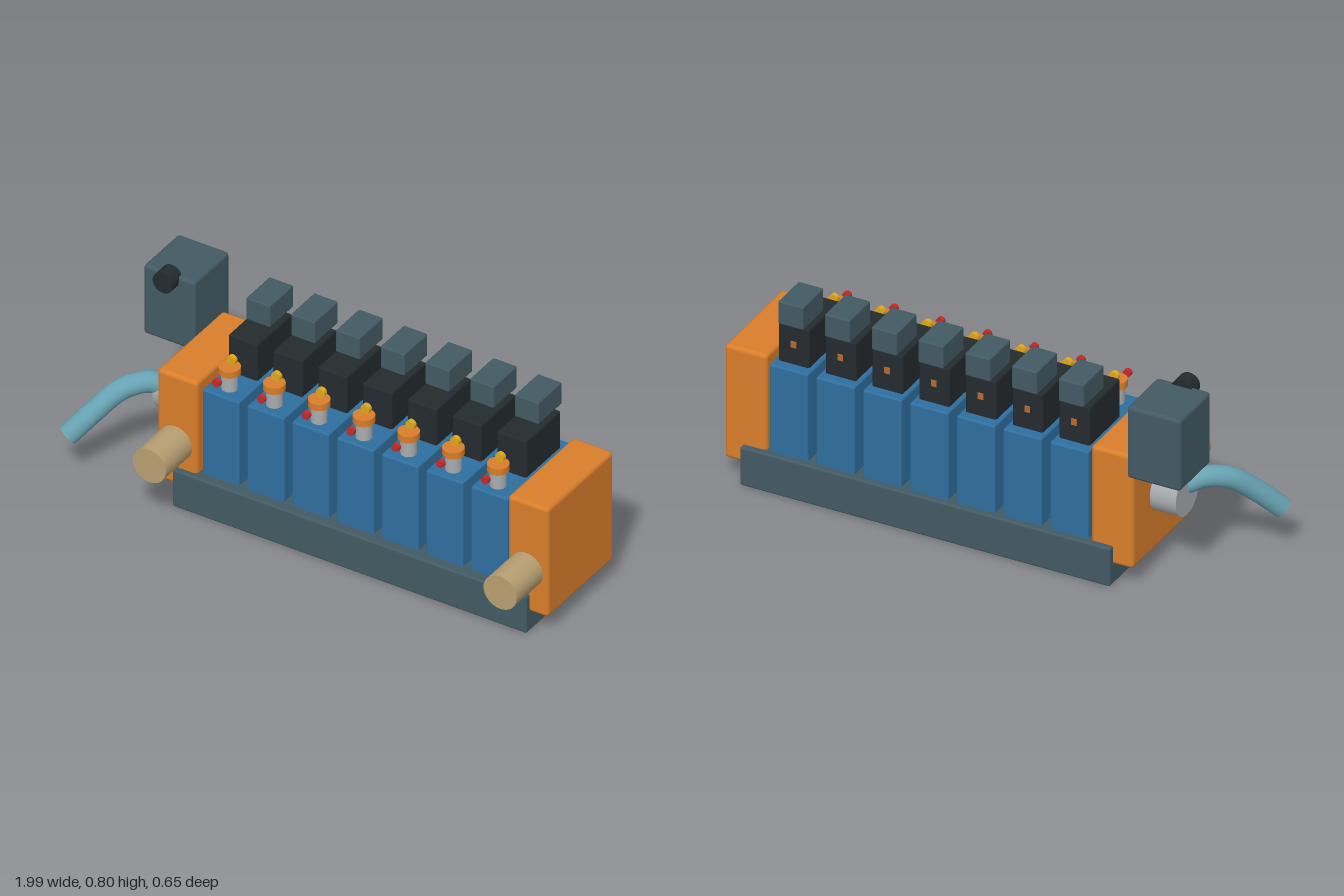
import * as THREE from 'three';
import { RoundedBoxGeometry } from 'three/addons/geometries/RoundedBoxGeometry.js';

const mat = (color) => new THREE.MeshStandardMaterial({ color });
const slate = mat(0x435a64), blue = mat(0x2f6f9f), orange = mat(0xd97e2b), black = mat(0x242b2e);
const silver = mat(0xa9adb0), tan = mat(0xb89f72), teal = mat(0x68a3b3);
const yellow = mat(0xe0a81c), red = mat(0xc62828), copper = mat(0xb8692e);

// Rounded box given by its extents on each axis
function box(parent, name, material, [x0, x1], [y0, y1], [z0, z1], radius = 0.008) {
  const mesh = new THREE.Mesh(new RoundedBoxGeometry(x1 - x0, y1 - y0, z1 - z0, 3, radius), material);
  mesh.position.set((x0 + x1) / 2, (y0 + y1) / 2, (z0 + z1) / 2);
  mesh.name = name;
  parent.add(mesh);
}

// Cylinder centred at a point, lying along the chosen axis
function rod(parent, name, material, axis, radius, length, x, y, z) {
  const geometry = new THREE.CylinderGeometry(radius, radius, length, 32);
  if (axis === 'x') geometry.rotateZ(Math.PI / 2);
  if (axis === 'z') geometry.rotateX(Math.PI / 2);
  const mesh = new THREE.Mesh(geometry, material);
  mesh.position.set(x, y, z);
  mesh.name = name;
  parent.add(mesh);
}

// One valve slice: body, solenoid, connector and manual override
function valve(x) {
  const g = new THREE.Group();
  g.name = 'valve';
  g.position.x = x;
  box(g, 'valveBody', blue, [-0.077, 0.077], [0.14, 0.512], [-0.285, 0.13]);
  box(g, 'solenoid', black, [-0.061, 0.061], [0.505, 0.667], [-0.245, -0.016]);
  box(g, 'connector', slate, [-0.05, 0.05], [0.677, 0.77], [-0.27, -0.115], 0.006);
  box(g, 'rearContact', copper, [-0.011, 0.011], [0.58, 0.606], [-0.248, -0.235], 0.001);
  rod(g, 'overrideStem', silver, 'y', 0.03, 0.075, 0, 0.541, 0.07);
  rod(g, 'overrideCollar', orange, 'y', 0.04, 0.027, 0, 0.591, 0.07);
  rod(g, 'overrideKnob', yellow, 'z', 0.018, 0.018, 0, 0.623, 0.055);
  rod(g, 'indicator', red, 'z', 0.015, 0.018, 0, 0.583, 0.153);
  return g;
}

export function createModel() {
  const model = new THREE.Group();
  model.name = 'valveManifold';

  box(model, 'base', slate, [-0.552, 0.92], [0, 0.156], [-0.31, 0.17]);

  for (let i = 0; i < 7; i++) model.add(valve(-0.376 + i * 0.186));

  // End blocks with their front ports
  for (const x of [-0.547, 0.911]) {
    box(model, 'endBlock', orange, [x - 0.084, x + 0.084], [0.08, 0.543], [-0.286, 0.147], 0.016);
    rod(model, 'frontPort', tan, 'z', 0.069, 0.172, x, 0.265, 0.241);
  }

  // Control box with a round plug
  box(model, 'controlBox', slate, [-0.84, -0.626], [0.477, 0.77], [-0.325, -0.094], 0.014);
  rod(model, 'plug', black, 'z', 0.042, 0.062, -0.733, 0.754, -0.085);

  // Side fitting and bent hose
  rod(model, 'hoseFitting', silver, 'x', 0.085, 0.11, -0.68, 0.311, -0.075);
  const path = new THREE.CatmullRomCurve3([
    [-0.715, 0.335, -0.045], [-0.77, 0.352, 0], [-0.835, 0.33, 0.065],
    [-0.9, 0.255, 0.14], [-0.963, 0.172, 0.205],
  ].map((p) => new THREE.Vector3(...p)));
  const hose = new THREE.Mesh(new THREE.TubeGeometry(path, 32, 0.04, 20), teal);
  hose.name = 'hose';
  model.add(hose);

  // Flat caps closing the hose
  for (const t of [0, 1]) {
    const cap = new THREE.Mesh(new THREE.CircleGeometry(0.04, 20), teal);
    const p = path.getPointAt(t);
    cap.position.copy(p);
    cap.lookAt(p.clone().addScaledVector(path.getTangentAt(t), t ? 1 : -1));
    cap.name = 'hoseEnd';
    model.add(cap);
  }

  return model;
}
